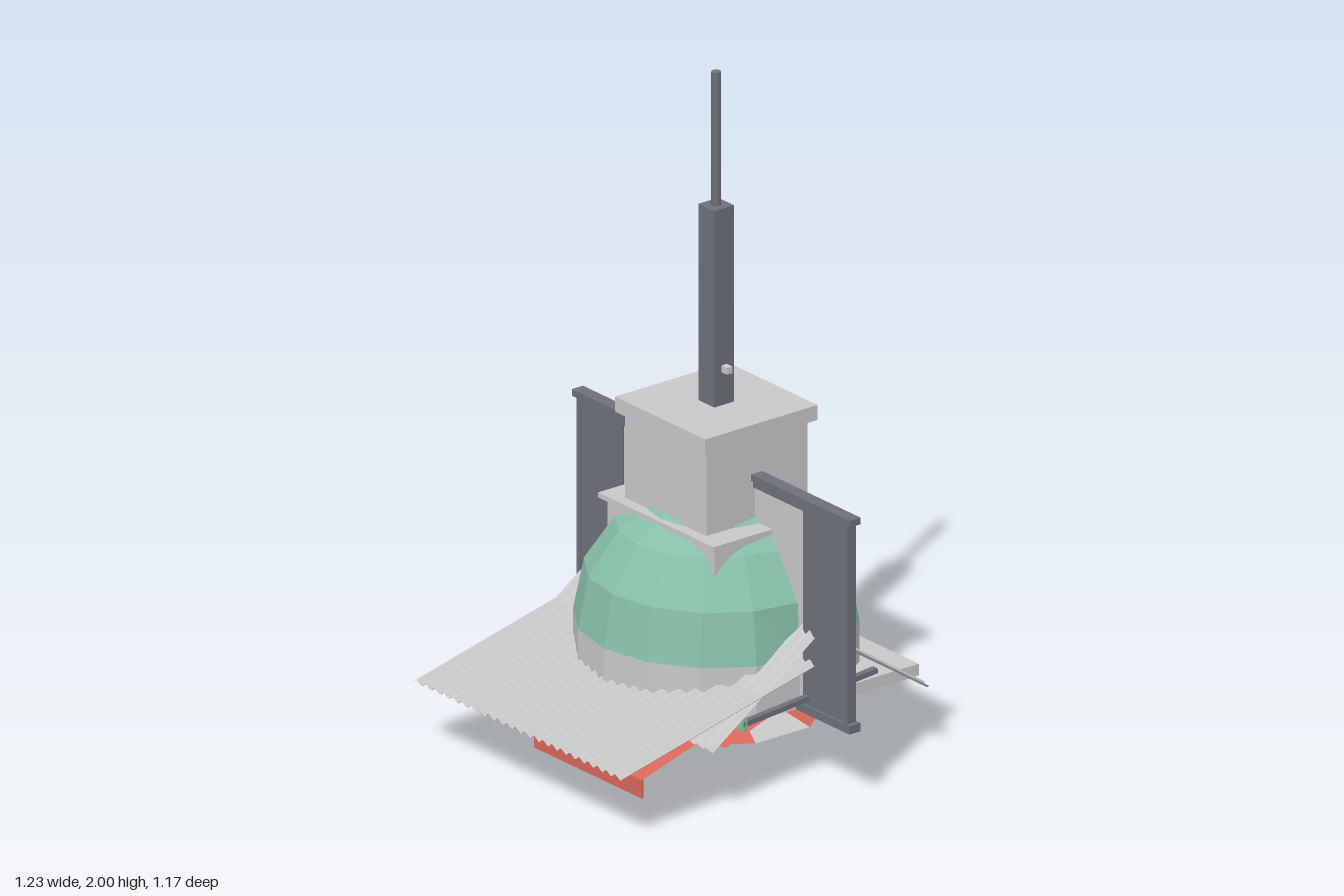
import * as THREE from 'three';

const mat = (name, color) => {
  const m = new THREE.MeshStandardMaterial({ color, flatShading: true, side: THREE.DoubleSide });
  m.name = name;
  return m;
};

export function createModel() {
  const grey = mat('light grey', 0xc8c8c8);
  const dark = mat('dark slate', 0x6c7078);
  const green = mat('copper green', 0x86bea6);
  const red = mat('awning red', 0xd9675a);
  const root = new THREE.Group();
  root.name = 'domedTower';
  const CZ = -0.12; // z of the tower axis

  const add = (name, geo, m) => {
    const mesh = new THREE.Mesh(geo, m);
    mesh.name = name;
    root.add(mesh);
    return mesh;
  };
  // box given by its limits on each axis
  const box = (name, m, x0, x1, y0, y1, z0, z1) =>
    add(name, new THREE.BoxGeometry(x1 - x0, y1 - y0, z1 - z0), m)
      .position.set((x0 + x1) / 2, (y0 + y1) / 2, (z0 + z1) / 2);
  // sloping sheet from (y0, z0) to (y1, z1), optionally corrugated across x
  const sheet = (name, m, x0, x1, y0, z0, y1, z1, waves = 0, amp = 0) => {
    const g = new THREE.PlaneGeometry(1, 1, Math.max(1, waves * 6), 1);
    const p = g.attributes.position;
    const len = Math.hypot(y1 - y0, z1 - z0);
    const ny = Math.abs(z1 - z0) / len, nz = Math.abs(y1 - y0) / len * Math.sign(z1 - z0);
    for (let i = 0; i < p.count; i++) {
      const u = p.getX(i) + 0.5, v = 0.5 - p.getY(i);
      const w = amp * Math.sin(u * waves * Math.PI * 2);
      p.setXYZ(i, x0 + (x1 - x0) * u, y0 + (y1 - y0) * v + w * ny, z0 + (z1 - z0) * v + w * nz);
    }
    g.computeVertexNormals();
    return add(name, g, m);
  };
  // awning made of alternating stripes
  const striped = (name, half, n, y0, z0, y1, z1) => {
    for (let i = 0; i < n; i++) {
      const w = 2 * half / n;
      sheet(name, i % 2 ? grey : red, -half + i * w, -half + (i + 1) * w, y0, z0, y1, z1);
    }
  };

  // Mast and pole
  box('mast', dark, -0.035, 0.035, 1.0, 1.6, CZ - 0.035, CZ + 0.035);
  add('pole', new THREE.CylinderGeometry(0.014, 0.014, 0.4, 10), dark).position.set(0, 1.8, CZ);
  box('mastPin', grey, -0.06, 0.06, 1.11, 1.13, CZ - 0.01, CZ + 0.01);

  // Square tower
  box('towerCap', grey, -0.2, 0.2, 0.965, 1.01, CZ - 0.2, CZ + 0.2);
  box('tower', grey, -0.18, 0.18, 0.7, 0.965, CZ - 0.18, CZ + 0.18);
  box('towerLedge', grey, -0.256, 0.256, 0.693, 0.708, CZ - 0.215, CZ + 0.215);
  box('towerFoot', grey, -0.237, 0.237, 0.58, 0.694, CZ - 0.197, CZ + 0.197);

  // Faceted dome and drum, trimmed slightly at the sides
  const trim = (g) => {
    const p = g.attributes.position;
    for (let i = 0; i < p.count; i++) p.setX(i, THREE.MathUtils.clamp(p.getX(i), -0.38, 0.38));
    g.computeVertexNormals();
    return g;
  };
  add('dome', trim(new THREE.SphereGeometry(0.4, 16, 4, 0, Math.PI * 2, 0, Math.PI / 2)), green)
    .position.set(0, 0.37, CZ);
  add('drum', trim(new THREE.CylinderGeometry(0.4, 0.4, 0.16, 16, 1, true)), grey)
    .position.set(0, 0.29, CZ);
  box('rearSlab', grey, -0.4, 0.4, 0.21, 0.245, -0.52, CZ);
  box('rearVent', dark, -0.035, 0.035, 0.185, 0.212, -0.585, -0.44);
  box('ventKnob', dark, -0.012, 0.012, 0.21, 0.23, -0.535, -0.51);

  // Side walls with frames
  for (const s of [-1, 1]) {
    const side = (name, m, a, b, ...r) => box(name, m, Math.min(s * a, s * b), Math.max(s * a, s * b), ...r);
    side('wallPanel', grey, 0.1, 0.59, 0.23, 0.82, CZ - 0.006, CZ + 0.006);
    side('wallDarkFace', dark, 0.4, 0.585, 0.235, 0.815, CZ + 0.006, CZ + 0.012);
    side('wallTopRail', dark, 0.18, 0.6, 0.812, 0.835, CZ - 0.014, CZ + 0.014);
    side('wallTopBar', dark, 0.18, 0.615, 0.832, 0.852, CZ - 0.02, CZ + 0.02);
    side('wallBottomBar', dark, 0.18, 0.615, 0.21, 0.235, CZ - 0.02, CZ + 0.02);
    side('wallPost', dark, 0.582, 0.6, 0.23, 0.835, CZ - 0.015, CZ + 0.015);
    // Red ends of the roof ridge
    const e = [s * 0.385, s * 0.46];
    sheet('ridgeEnd', red, Math.min(...e), Math.max(...e), 0.478, CZ - 0.008, 0.445, CZ + 0.012, 2, 0.006);
    // Slanted side rod with a small green end
    const rod = add('sideRod', new THREE.BoxGeometry(0.02, 0.015, 0.48), dark);
    rod.position.set(s * 0.415, 0.255, -0.115);
    rod.rotation.x = 0.085;
    side('rodEnd', green, 0.36, 0.425, 0.215, 0.255, 0.11, 0.125);
  }

  // Corrugated roofs
  sheet('frontRoof', grey, -0.46, 0.46, 0.375, -0.14, 0.203, 0.585, 23, 0.007);
  sheet('steepFrontRoof', grey, -0.46, 0.46, 0.462, CZ, 0.2, 0.26, 23, 0.007);
  sheet('rearRoof', grey, -0.46, 0.46, 0.462, CZ, 0.2, -0.51, 23, 0.007);

  // Striped awnings and valance
  striped('frontAwning', 0.238, 8 - 1, 0.203, CZ, 0.065, 0.335);
  box('valance', red, -0.238, 0.238, 0.01, 0.065, 0.331, 0.337);
  striped('wideAwning', 0.315, 9, 0.2, CZ, 0.125, 0.1);

  // Striped cone canopy with a flat underside
  const n = 10, cone = new THREE.ConeGeometry(0.31, 0.11, n, 1).toNonIndexed();
  cone.clearGroups();
  const tris = cone.attributes.position.count / 3;
  const p = cone.attributes.position;
  for (let t = 0; t < tris; t++) {
    let x = 0, z = 0, top = false;
    for (let k = 0; k < 3; k++) {
      x += p.getX(t * 3 + k);
      z += p.getZ(t * 3 + k);
      top = top || p.getY(t * 3 + k) > 0;
    }
    const sector = Math.floor((Math.atan2(x, z) + Math.PI * 2) / (Math.PI * 2 / n));
    cone.addGroup(t * 3, 3, top && sector % 2 ? 1 : 0);
  }
  add('coneCanopy', cone, [grey, red]).position.set(0, 0.155, CZ);

  // Foot post
  box('footPost', dark, -0.03, 0.03, 0, 0.1, CZ - 0.03, CZ + 0.03);
  box('footPlate', green, -0.016, 0.016, 0.025, 0.06, CZ - 0.035, CZ - 0.03);

  return root;
}
